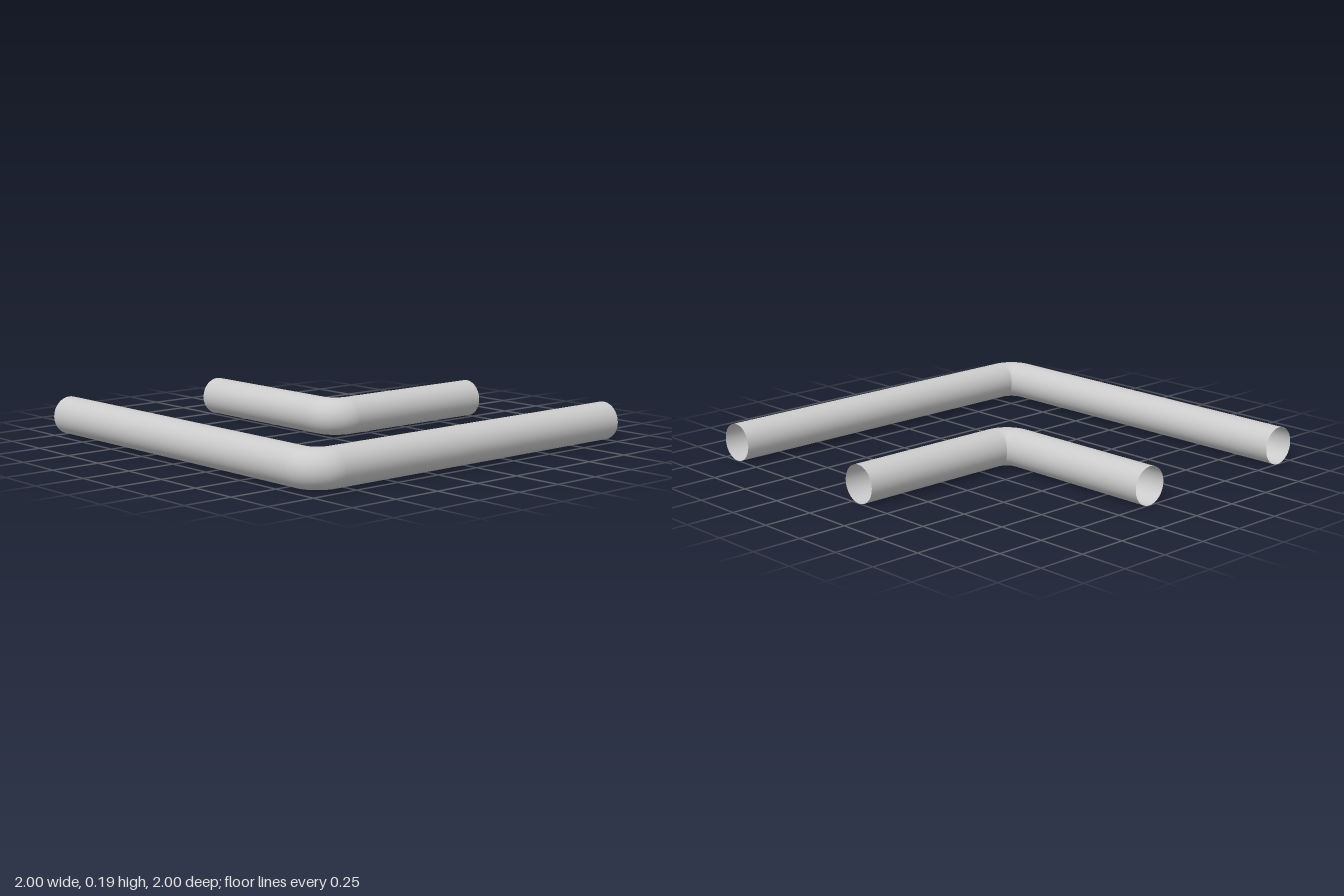
import * as THREE from 'three';

const R = 0.095;   // pipe radius, also the bend radius at the centreline
const SIDES = 48;

const material = new THREE.MeshStandardMaterial({ color: 0xcccccc, side: THREE.DoubleSide });

// Open-ended L-shaped pipe; (cx, cz) is its inner corner
function bentPipe(name, cx, cz) {
  const pipe = new THREE.Group();
  pipe.name = name;
  const add = (partName, geometry, x, z) => {
    const mesh = new THREE.Mesh(geometry, material);
    mesh.name = partName;
    mesh.position.set(x, R, z);
    pipe.add(mesh);
  };
  const straight = (length) => new THREE.CylinderGeometry(R, R, length, SIDES, 1, true);

  // Run along x, out to x = 1
  add('sideRun', straight(1 - cx).rotateZ(Math.PI / 2), (cx + 1) / 2, cz + R);
  // Run along z, back to z = -1
  add('backRun', straight(cz + 1).rotateX(Math.PI / 2), cx - R, (cz - 1) / 2);
  // Quarter-turn elbow around the inner corner
  const elbow = new THREE.TorusGeometry(R, R, SIDES, 20, Math.PI / 2);
  add('elbow', elbow.rotateZ(Math.PI / 2).rotateX(Math.PI / 2), cx, cz);
  return pipe;
}

export function createModel() {
  const model = new THREE.Group();
  model.name = 'bentPipes';
  model.add(bentPipe('outerPipe', -0.81, 0.81), bentPipe('innerPipe', 0.14, -0.145));
  return model;
}
